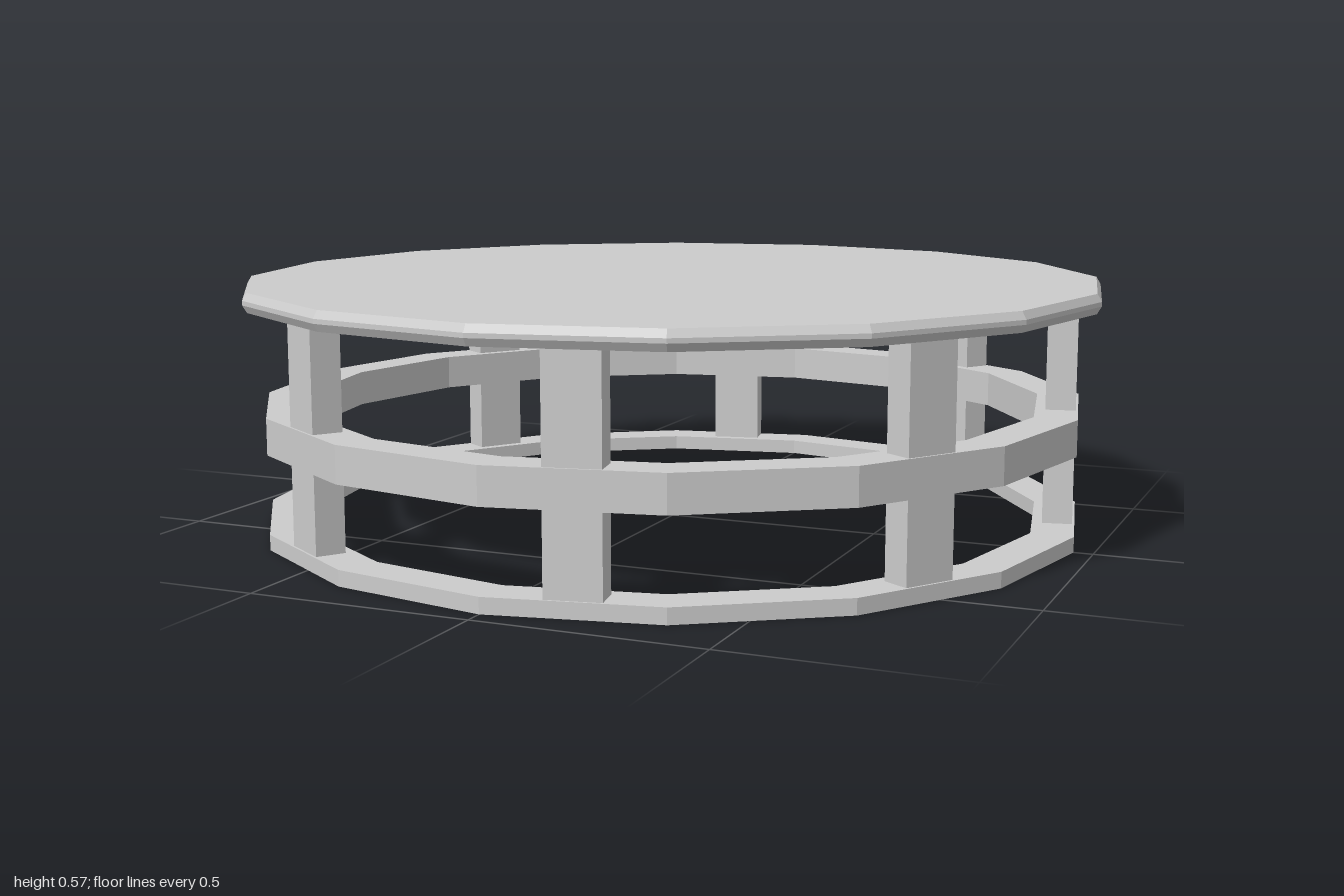
import * as THREE from 'three';

const SIDES = 16;
const POSTS = 8;

export function createModel() {
  const model = new THREE.Group();
  model.name = 'roundTable';
  const material = new THREE.MeshStandardMaterial({ color: 0xcccccc, flatShading: true });

  const add = (name, geometry) => {
    const mesh = new THREE.Mesh(geometry, material);
    mesh.name = name;
    model.add(mesh);
    return mesh;
  };

  // Sixteen-sided solid turned from a profile of [radius, height] points
  const turned = (name, profile) =>
    add(name, new THREE.LatheGeometry(profile.map(([r, y]) => new THREE.Vector2(r, y)), SIDES));

  // Flat hoop with a rectangular section
  const hoop = (name, inner, outer, y0, y1) =>
    turned(name, [[inner, y0], [outer, y0], [outer, y1], [inner, y1], [inner, y0]]);

  // Top slab with a bevelled rim
  turned('tableTop', [
    [0, 0.528], [0.99, 0.528], [1, 0.545], [1, 0.555], [0.99, 0.572], [0, 0.572],
  ]);

  // Rings tying the posts together
  hoop('baseRing', 0.86, 0.957, 0, 0.035);
  hoop('middleRing', 0.86, 0.957, 0.213, 0.295);

  // Posts centred on every second side of the rings
  const bottom = 0.03, top = 0.528, radius = 0.9;
  const postGeometry = new THREE.BoxGeometry(0.12, top - bottom, 0.067);
  for (let i = 0; i < POSTS; i++) {
    const angle = Math.PI / SIDES + (i * 2 * Math.PI) / POSTS;
    const post = add(`post${i + 1}`, postGeometry);
    post.position.set(radius * Math.sin(angle), (top + bottom) / 2, radius * Math.cos(angle));
    post.rotation.y = angle;
  }

  return model;
}
